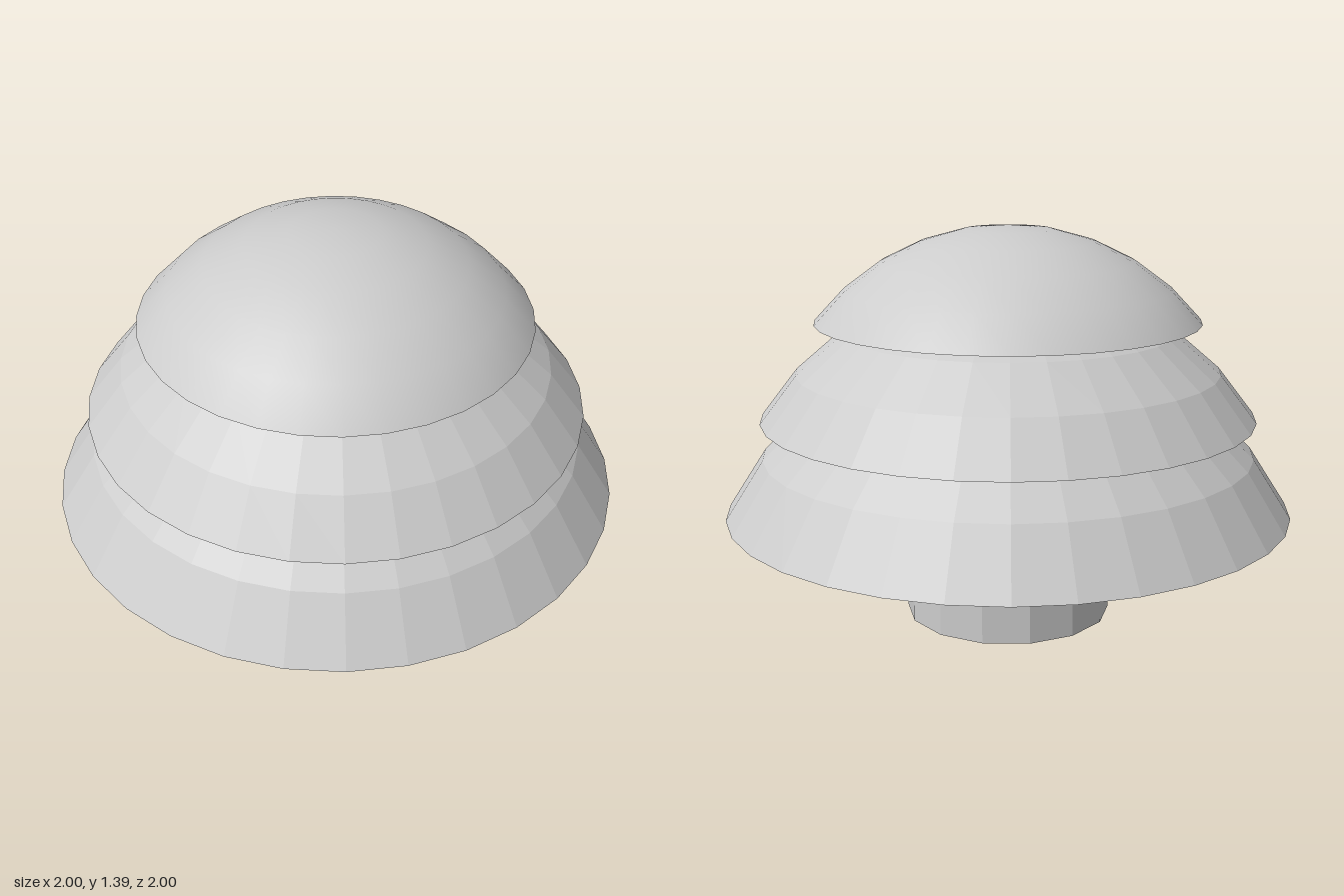
import * as THREE from 'three';

const grey = new THREE.MeshStandardMaterial({ color: 0xcccccc, side: THREE.DoubleSide });
grey.name = 'light grey';

// Faceted copy of a geometry, so one material serves flat and smooth parts
function faceted(geometry) {
  const flat = geometry.toNonIndexed();
  flat.computeVertexNormals();
  return flat;
}

// Open spherical cap given by its rim radius, rim height and half angle
function cap(rimRadius, rimY, degrees) {
  const angle = THREE.MathUtils.degToRad(degrees);
  const radius = rimRadius / Math.sin(angle);
  return new THREE.SphereGeometry(radius, 32, 5, 0, Math.PI * 2, 0, angle)
    .translate(0, rimY - radius * Math.cos(angle), 0);
}

export function createModel() {
  const model = new THREE.Group();
  model.name = 'tieredTree';

  const add = (name, geometry) => {
    const mesh = new THREE.Mesh(geometry, grey);
    mesh.name = name;
    model.add(mesh);
  };

  // Trunk, reaching up into the top tier
  const trunkHeight = 1.25;
  add('trunk', faceted(
    new THREE.CylinderGeometry(0.367, 0.367, trunkHeight, 14).translate(0, trunkHeight / 2, 0)));

  // Three stacked canopy shells, the top one smooth
  add('lowerCanopy', faceted(cap(1, 0.39, 63.5)));
  add('middleCanopy', faceted(cap(0.87, 0.727, 58)));
  add('topCanopy', cap(0.675, 1.063, 52));

  return model;
}
